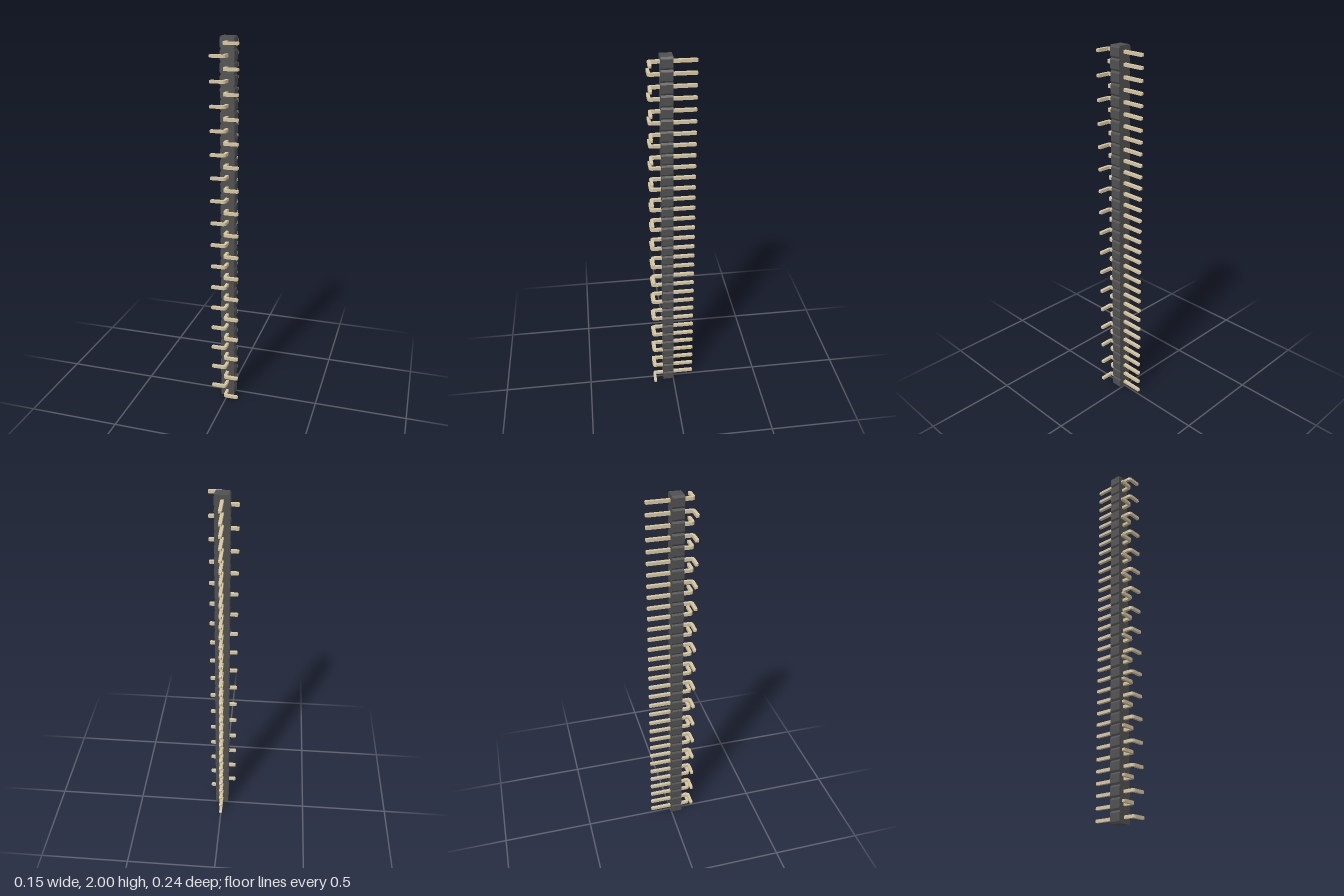
import * as THREE from 'three';

const COUNT = 33;
const PITCH = 2 / COUNT;
const HALF_W = 0.038;   // housing half width
const DEPTH = 0.06;     // housing depth
const PIN = 0.008;      // pin half thickness

// One chamfered housing cell, extruded along z
function cellGeometry() {
  const h = PITCH / 2, cx = 0.006, cy = 0.01;
  const shape = new THREE.Shape([
    [HALF_W - cx, -h], [HALF_W, -h + cy], [HALF_W, h - cy], [HALF_W - cx, h],
    [-HALF_W + cx, h], [-HALF_W, h - cy], [-HALF_W, -h + cy], [-HALF_W + cx, -h],
  ].map(([x, y]) => new THREE.Vector2(x, y)));
  return new THREE.ExtrudeGeometry(shape, { depth: DEPTH, bevelEnabled: false });
}

// Square wire swept along an L-shaped path in the xz plane, with tapered tips
function pinGeometry() {
  const zFoot = 0.112, r = 0.01, tip = 0.005, taper = 0.7, bendSteps = 6;
  // stations: x, z, heading angle (0 = +z, 90 degrees = +x), scale
  const stations = [[0, -0.12, 0, taper], [0, -0.12 + tip, 0, 1]];
  for (let i = 0; i <= bendSteps; i++) {
    const a = (i / bendSteps) * Math.PI / 2;
    stations.push([r - r * Math.cos(a), zFoot - r + r * Math.sin(a), a, 1]);
  }
  stations.push([0.075 - tip, zFoot, Math.PI / 2, 1], [0.075, zFoot, Math.PI / 2, taper]);

  const positions = [], index = [];
  const corners = [[1, -1], [1, 1], [-1, 1], [-1, -1]];
  stations.forEach(([x, z, a, s], i) => {
    for (const [n, y] of corners) {
      positions.push(x + Math.cos(a) * n * PIN * s, y * PIN * s, z - Math.sin(a) * n * PIN * s);
    }
    if (i === 0) return;
    for (let j = 0; j < 4; j++) {
      const k = (j + 1) % 4, p = (i - 1) * 4, q = i * 4;
      index.push(p + j, p + k, q + k, p + j, q + k, q + j);
    }
  });
  const e = (stations.length - 1) * 4;
  index.push(0, 2, 1, 0, 3, 2, e, e + 1, e + 2, e, e + 2, e + 3);

  const indexed = new THREE.BufferGeometry();
  indexed.setAttribute('position', new THREE.Float32BufferAttribute(positions, 3));
  indexed.setIndex(index);
  const geometry = indexed.toNonIndexed();
  geometry.computeVertexNormals();
  return geometry;
}

export function createModel() {
  const model = new THREE.Group();
  model.name = 'pinHeader';
  const plastic = new THREE.MeshStandardMaterial({ color: 0x505050 });
  const metal = new THREE.MeshStandardMaterial({ color: 0xd6c6a0 });
  const housing = new THREE.Group();
  housing.name = 'housing';
  const pins = new THREE.Group();
  pins.name = 'pins';
  model.add(housing, pins);

  const cellGeo = cellGeometry(), pinGeo = pinGeometry();
  for (let i = 0; i < COUNT; i++) {
    const y = (i + 0.5) * PITCH;
    const cell = new THREE.Mesh(cellGeo, plastic);
    cell.name = 'housingCell';
    cell.position.y = y;
    housing.add(cell);

    // Feet alternate between the two sides
    const pin = new THREE.Mesh(pinGeo, metal);
    pin.name = i % 2 ? 'rightPin' : 'leftPin';
    pin.position.y = y;
    if (i % 2) pin.rotation.z = Math.PI;
    pins.add(pin);
  }
  return model;
}
